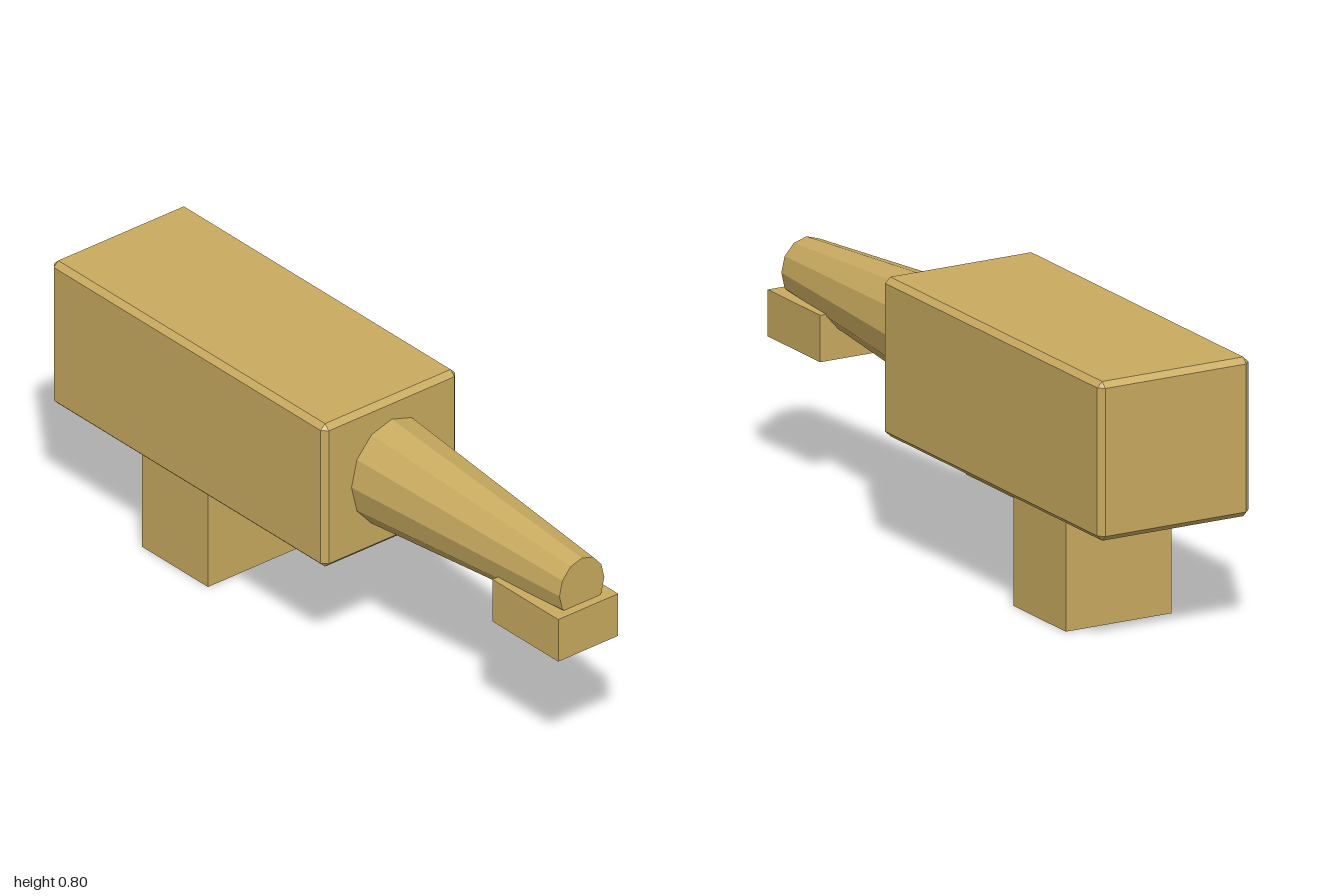
import * as THREE from 'three';
import { ConvexGeometry } from 'three/addons/geometries/ConvexGeometry.js';

const tan = new THREE.MeshStandardMaterial({ color: 0xc9ab60, flatShading: true });
tan.name = 'tan';

// Box with flat-cut edges: every corner is replaced by three points
function chamferedBox(w, h, d, c) {
  const points = [];
  for (const sx of [-1, 1]) for (const sy of [-1, 1]) for (const sz of [-1, 1]) {
    for (let axis = 0; axis < 3; axis++) {
      const inset = [c, c, c];
      inset[axis] = 0;
      points.push(new THREE.Vector3(
        sx * (w / 2 - inset[0]), sy * (h / 2 - inset[1]), sz * (d / 2 - inset[2])));
    }
  }
  return new ConvexGeometry(points);
}

export function createModel() {
  const group = new THREE.Group();
  group.name = 'model';

  const add = (name, geometry, x, y) => {
    const mesh = new THREE.Mesh(geometry, tan);
    mesh.name = name;
    mesh.position.set(x, y, 0);
    group.add(mesh);
    return mesh;
  };

  // Main housing with chamfered edges
  add('body', chamferedBox(1.165, 0.455, 0.48, 0.016), -0.4175, 0.5725);

  // Tapered twelve-sided barrel, slightly taller than wide
  const barrel = new THREE.CylinderGeometry(0.08, 0.143, 0.808, 12);
  barrel.rotateZ(-Math.PI / 2);
  barrel.scale(1, 1.14, 1);
  add('barrel', barrel, 0.569, 0.572);

  // Plain blocks: under the muzzle, under the body, and the handle
  add('muzzleBlock', new THREE.BoxGeometry(0.28, 0.134, 0.214), 0.86, 0.454);
  add('underBlock', new THREE.BoxGeometry(0.28, 0.134, 0.214), -0.198, 0.339);
  add('handle', new THREE.BoxGeometry(0.28, 0.36, 0.336), -0.555, 0.18);

  return group;
}
